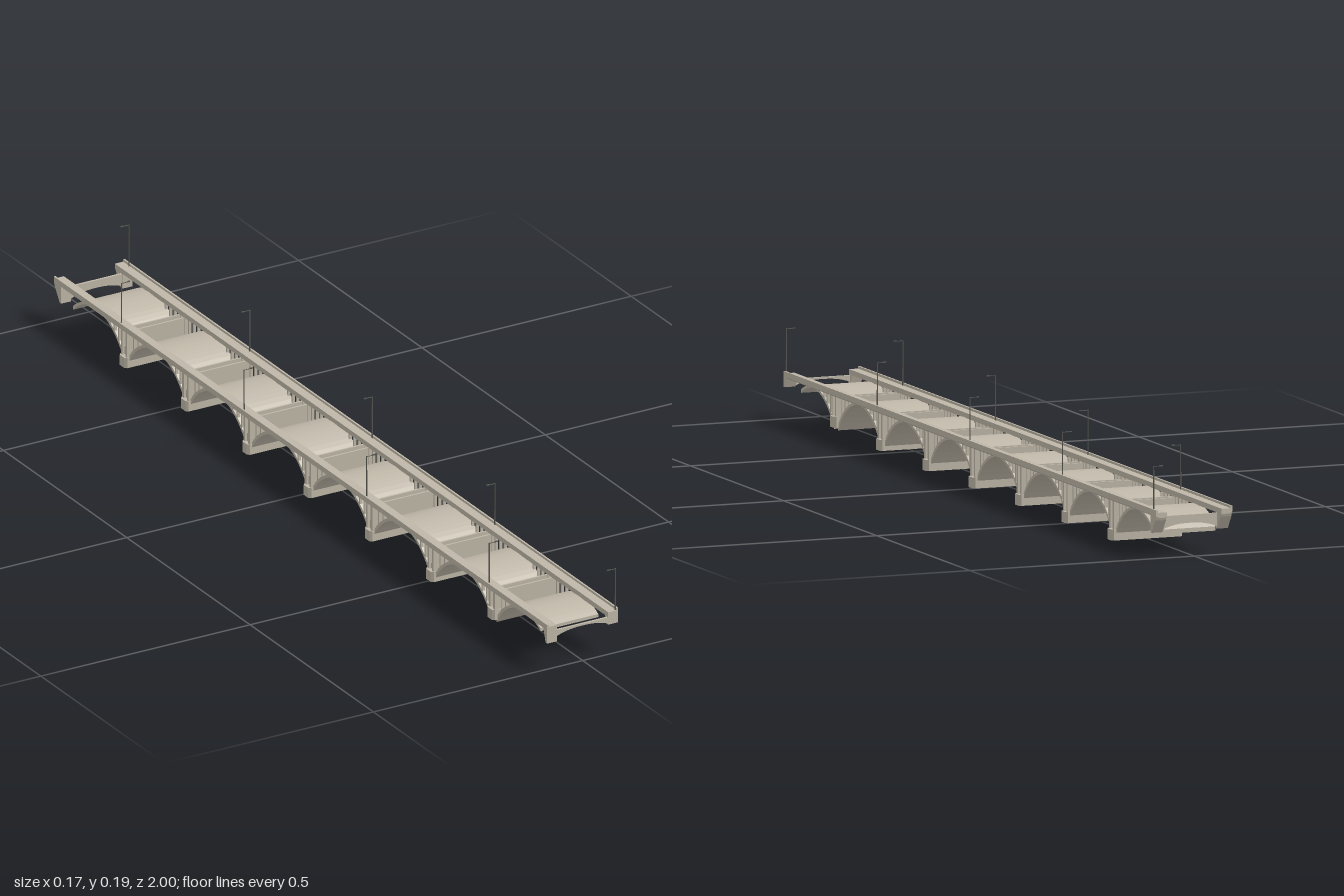
import * as THREE from 'three';

const stone = new THREE.MeshStandardMaterial({ color: 0xbfb7a8, flatShading: true });
stone.name = 'stone';
const metal = new THREE.MeshStandardMaterial({ color: 0x5a5852 });
metal.name = 'lampMetal';

const PITCH = 0.2485, FIRST = 0.757, RADIUS = 0.1345, CROWN = 0.085;
const pierZ = Array.from({ length: 7 }, (_, i) => FIRST - i * PITCH);
const archTop = (dz) => CROWN - RADIUS + Math.sqrt(RADIUS * RADIUS - dz * dz);

function add(parent, name, geometry, material = stone) {
  const mesh = new THREE.Mesh(geometry, material);
  mesh.name = name;
  parent.add(mesh);
  return mesh;
}

function box(parent, name, x0, x1, y0, y1, z0, z1, material) {
  const g = new THREE.BoxGeometry(x1 - x0, y1 - y0, z1 - z0);
  g.translate((x0 + x1) / 2, (y0 + y1) / 2, (z0 + z1) / 2);
  return add(parent, name, g, material);
}

const extrude = (points, depth) => new THREE.ExtrudeGeometry(
  new THREE.Shape(points.map(([a, b]) => new THREE.Vector2(a, b))),
  { depth, bevelEnabled: false });

// Extrudes a (z, y) outline across the bridge from x0 to x1
const acrossX = (points, x0, x1) =>
  extrude(points, x1 - x0).rotateY(-Math.PI / 2).translate(x1, 0, 0);

// Curved arch slab between two offsets from its crown, thicker near the springing
function addArch(parent, centre, from, to) {
  const top = [], bottom = [];
  const n = 20;
  for (let i = 0; i <= n; i++) {
    const dz = from + (to - from) * i / n;
    top.push([centre + dz, archTop(dz)]);
    bottom.unshift([centre + dz, archTop(dz) - 0.005 - 0.5 * dz * dz]);
  }
  add(parent, 'archBarrel', acrossX([...top, ...bottom], -0.069, 0.069));
}

// Beam between the two sides with an arched underside
function addEndBeam(parent, name, z, depth, low, high) {
  const pts = [[-0.064, 0.083], [-0.064, low]];
  for (let i = 1; i < 12; i++) {
    const t = i / 6 - 1;
    pts.push([t * 0.064, high - (high - low) * Math.pow(Math.abs(t), 2.5)]);
  }
  pts.push([0.064, low], [0.064, 0.083]);
  add(parent, name, extrude(pts, depth).translate(0, 0, z));
}

function addLamp(parent, side, z) {
  const lamp = new THREE.Group();
  lamp.name = 'lamp';
  parent.add(lamp);
  add(lamp, 'lampPole', new THREE.CylinderGeometry(0.0011, 0.0015, 0.095, 6)
    .translate(side * 0.08, 0.1415, z), metal);
  const arm = new THREE.CylinderGeometry(0.0008, 0.0008, 0.02, 6).rotateZ(Math.PI / 2);
  add(lamp, 'lampArm', arm.translate(side * 0.071, 0.188, z), metal);
  const head = new THREE.BoxGeometry(0.006, 0.002, 0.003);
  add(lamp, 'lampHead', head.translate(side * 0.063, 0.1885, z), metal);
}

function addPier(parent, z, bottom) {
  const pier = new THREE.Group();
  pier.name = 'pier';
  parent.add(pier);
  // Footing with clipped corners
  const w = 0.079, d = 0.014, c = 0.005;
  const plan = [[-w, -d + c], [-w + c, -d], [w - c, -d], [w, -d + c],
    [w, d - c], [w - c, d], [-w + c, d], [-w, d - c]];
  add(pier, 'footing', extrude(plan, 0.023).rotateX(-Math.PI / 2).translate(0, bottom, z));
  box(pier, 'pierStem', -0.069, 0.069, bottom + 0.02, 0.042, z - 0.012, z + 0.012);
  for (const s of [-1, 1]) {
    // Twin cross walls
    const wz = z + s * 0.0095;
    box(pier, 'crossWall', -0.064, 0.064, 0.04, 0.081, wz - 0.002, wz + 0.002);
    // Paired pier columns at each side
    for (const e of [-1, 1]) {
      const x = e * 0.069;
      box(pier, 'pierColumn', x - 0.005, x + 0.005, 0.023 + bottom, 0.087, wz - 0.0035, wz + 0.0035);
    }
  }
}

export function createModel() {
  const bridge = new THREE.Group();
  bridge.name = 'archBridge';

  // Side beams: walkway ledge with inner curb and outer parapet
  const profile = [[0.061, 0.084], [0.079, 0.084], [0.085, 0.088], [0.085, 0.1],
    [0.081, 0.1], [0.081, 0.095], [0.061, 0.095]];
  add(bridge, 'leftDeckBeam', extrude(profile, 2).translate(0, 0, -1));
  add(bridge, 'rightDeckBeam',
    extrude(profile.map(([x, y]) => [-x, y]).reverse(), 2).translate(0, 0, -1));

  // Arches, cut short at both ends
  for (let i = 0; i < 8; i++) {
    const centre = FIRST + PITCH / 2 - i * PITCH;
    addArch(bridge, centre, i === 7 ? -0.09 : -0.113, i === 0 ? 0.065 : 0.113);
  }

  // Piers, on ground that rises toward the front
  pierZ.forEach((z, i) => addPier(bridge, z, [0.018, 0.006][i] ?? 0));

  // Slim spandrel columns standing on the arches
  for (const z of pierZ) {
    for (const dir of [-1, 1]) {
      for (const off of [0.03, 0.048, 0.066]) {
        const y = archTop(PITCH / 2 - off) - 0.003;
        const cz = z + dir * off;
        for (const s of [-1, 1]) {
          const x = s * 0.066;
          box(bridge, 'spandrelColumn', x - 0.003, x + 0.003, y, 0.087, cz - 0.002, cz + 0.002);
        }
      }
    }
  }

  // End beams and tapered brackets
  addEndBeam(bridge, 'frontEndBeam', 0.994, 0.005, 0.068, 0.079);
  addEndBeam(bridge, 'backEndBeam', -0.976, 0.005, 0.054, 0.066);
  for (const s of [-1, 1]) {
    const x0 = s > 0 ? 0.061 : -0.085, x1 = x0 + 0.024;
    const low = s > 0 ? 0.067 : 0.058;
    add(bridge, 'frontBracket', acrossX([[1, 0.09], [0.984, 0.09], [0.994, low], [1, low]], x0, x1));
    add(bridge, 'backBracket',
      acrossX([[-1, 0.09], [-0.995, 0.078], [-0.976, 0.05], [-0.97, 0.05], [-0.97, 0.09]], x0, x1));
  }

  // Street lamps, alternating sides
  [0.997, ...pierZ, -0.975].forEach((z, i) => addLamp(bridge, i % 2 ? -1 : 1, z));

  return bridge;
}
